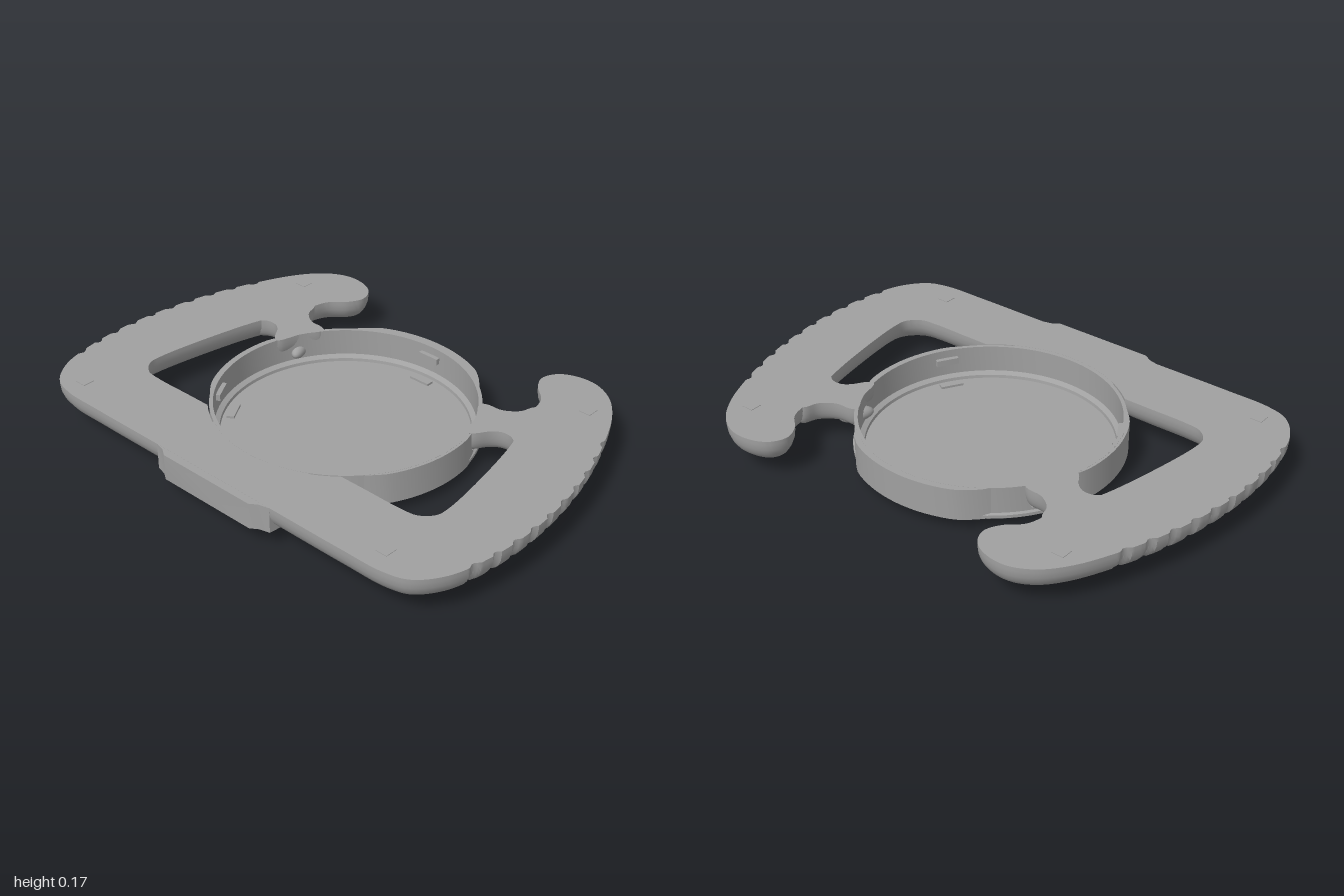
import * as THREE from 'three';
import { toCreasedNormals } from 'three/addons/utils/BufferGeometryUtils.js';

const TOP = 0.17;
const grey = new THREE.MeshStandardMaterial({ color: 0xa0a0a0 });
grey.name = 'grey';

export function createModel() {
  const group = new THREE.Group();
  const add = (name, geometry) => {
    const mesh = new THREE.Mesh(geometry, grey);
    mesh.name = name;
    group.add(mesh);
    return mesh;
  };
  const vec = (list) => list.map(([x, y]) => new THREE.Vector2(x, y));
  const arc = (r, a0, a1, n) => Array.from({ length: n + 1 }, (_, i) => {
    const a = a0 + (a1 - a0) * i / n;
    return new THREE.Vector2(r * Math.cos(a), r * Math.sin(a));
  });

  // Slab with a flat top and a rounded underside
  function slab(points, bottom, bevel, rule) {
    const height = TOP - bottom;
    const straight = height * 0.15;
    let g = new THREE.ExtrudeGeometry(new THREE.Shape(points), {
      depth: straight, bevelSize: bevel, bevelOffset: -bevel,
      bevelThickness: height - straight, bevelSegments: 6,
    });
    const p = g.attributes.position;
    for (let i = 0; i < p.count; i++) {
      p.setZ(i, Math.min(p.getZ(i), straight));
      if (rule) rule(p, i, straight);
    }
    g = toCreasedNormals(g, 0.6);
    g.translate(0, 0, TOP - straight);
    return g.rotateX(-Math.PI / 2);
  }

  // Plain upright block from an outline
  function block(points, bottom, top) {
    const g = new THREE.ExtrudeGeometry(new THREE.Shape(points), { depth: top - bottom, bevelEnabled: false });
    g.translate(0, 0, bottom);
    return toCreasedNormals(g.rotateX(-Math.PI / 2), 0.6);
  }

  // Frame: half outline round one arm and hook, then mirrored
  const half = [
    [-0.68, 0], [-0.68, 0.3], [-0.68, 0.6], [-0.675, 0.78], [-0.645, 0.87], [-0.55, 0.945],
    [-0.4, 0.985], [-0.2, 1], [0, 0.985], [0.2, 0.945], [0.38, 0.885], [0.56, 0.8],
    [0.655, 0.72], [0.7, 0.63], [0.695, 0.54], [0.66, 0.48], [0.6, 0.455], [0.54, 0.48],
    [0.48, 0.54], [0.42, 0.56], [0.35, 0.57], [0.27, 0.6], [0.19, 0.635], [0, 0.68],
    [-0.27, 0.72], [-0.33, 0.715], [-0.375, 0.67], [-0.385, 0.6], [-0.385, 0.45], [-0.385, 0.335],
  ];
  const side = new THREE.CatmullRomCurve3(half.map(([x, y]) => new THREE.Vector3(x, y, 0)))
    .getSpacedPoints(400).map((v) => new THREE.Vector2(v.x, v.y));
  side.push(...arc(0.51, Math.PI - 0.716, Math.PI, 14).slice(1));
  const mirrored = side.slice(1, -1).reverse().map((v) => new THREE.Vector2(v.x, -v.y));

  // Finger grooves pressed into the outer side of each arm
  const grooves = Array.from({ length: 10 }, (_, i) => -0.45 + i * 0.093);
  const press = (p, i, straight) => {
    const x = p.getX(i), y = p.getY(i), z = p.getZ(i);
    const edge = 1 - 0.35 * (x + 0.2) ** 2;
    const reach = THREE.MathUtils.clamp((Math.abs(y) - edge + 0.14) / 0.08, 0, 1);
    const near = Math.min(...grooves.map((g) => Math.abs(x - g)));
    const depth = 0.013 * reach * Math.max(0, 1 - (near / 0.02) ** 2);
    p.setY(i, y - Math.sign(y) * depth);
    if (z < straight - 0.01) p.setZ(i, z + depth * 0.6);
  };
  add('frame', slab([...side, ...mirrored], 0.065, 0.08, press));

  // Thumb pad on the back bar, with ribs underneath
  add('thumbPad', block([
    ...vec([[-0.45, -0.24], [-0.45, -0.3], [-0.68, -0.28], [-0.69, -0.24], [-0.71, -0.21], [-0.71, 0.21],
      [-0.69, 0.24], [-0.68, 0.28], [-0.45, 0.3], [-0.45, 0.24]].reverse()),
    ...arc(0.5, Math.PI + 0.49, Math.PI - 0.49, 16),
  ], 0.066, TOP - 0.0005));
  for (let i = 0; i < 3; i++) {
    const rib = add('thumbPadRib', new THREE.CapsuleGeometry(0.009, 0.16, 4, 8));
    rib.rotation.x = Math.PI / 2;
    rib.position.set(-0.66 + i * 0.05, 0.066, 0);
  }

  // Necks joining the hooks to the dish
  const neck = new THREE.CatmullRomCurve3([
    [0.12, 0.475], [0.13, 0.5], [0.185, 0.54], [0.205, 0.57], [0.205, 0.61], [0.18, 0.66], [0.27, 0.7],
    [0.43, 0.65], [0.42, 0.56], [0.36, 0.535], [0.32, 0.48], [0.315, 0.42], [0.3, 0.395], [0.22, 0.44],
  ].map(([x, y]) => new THREE.Vector3(x, y, 0)), true).getSpacedPoints(70).slice(0, -1);
  for (const s of [1, -1]) {
    const outline = neck.map((v) => new THREE.Vector2(v.x, v.y * s));
    add('neck', slab(outline, 0.085, 0.03));
    // Collar where the neck meets the dish
    const collar = add('neckCollar', new THREE.SphereGeometry(1, 24, 12));
    collar.scale.set(0.07, 0.03, 0.03);
    collar.position.set(0.235, 0.09, -0.465 * s);
    collar.rotation.y = s * 0.47;
  }

  // Round dish with a stepped floor
  const profile = vec([
    [0, 0], [0.42, 0], [0.445, 0.006], [0.5, 0.038], [0.513, 0.048], [0.513, 0.06], [0.505, 0.066],
    [0.505, TOP], [0.491, TOP], [0.491, 0.062], [0.472, 0.052], [0.47, 0.04], [0, 0.04],
  ]);
  add('dish', toCreasedNormals(new THREE.LatheGeometry(profile, 96), 0.45));

  // Thickened outer walls of the dish
  const bulge = (a, spread, extra) => {
    const n = 24;
    const outer = Array.from({ length: n + 1 }, (_, i) => {
      const t = i / n * 2 - 1;
      const r = 0.503 + extra * Math.min(1, 1.7 * (1 - t * t));
      return new THREE.Vector2(r * Math.cos(a + t * spread), r * Math.sin(a + t * spread));
    });
    return block([...outer, ...arc(0.495, a + spread, a - spread, n)], 0.045, TOP - 0.0005);
  };
  add('frontWall', bulge(0, 0.7, 0.027));
  for (const s of [1, -1]) add('sideWall', bulge(s * 1.75, 0.55, 0.012));

  // Three pairs of clips: on the wall and on the floor
  for (let i = 0; i < 3; i++) {
    const a = i * Math.PI * 2 / 3;
    for (const [name, r, y, w, h] of [['wallClip', 0.485, 0.125, 0.025, 0.025], ['floorClip', 0.437, 0.043, 0.03, 0.012]]) {
      const clip = add(name, new THREE.BoxGeometry(w, h, 0.09));
      clip.position.set(r * Math.cos(a), y, -r * Math.sin(a));
      clip.rotation.y = a;
    }
  }

  // Small square inserts in the flat top
  for (const [x, z] of [[-0.585, -0.795], [0.53, -0.725], [-0.585, 0.715], [0.53, 0.715]]) {
    add('squareInsert', new THREE.BoxGeometry(0.048, 0.006, 0.048)).position.set(x, TOP - 0.001, z);
  }
  return group;
}
